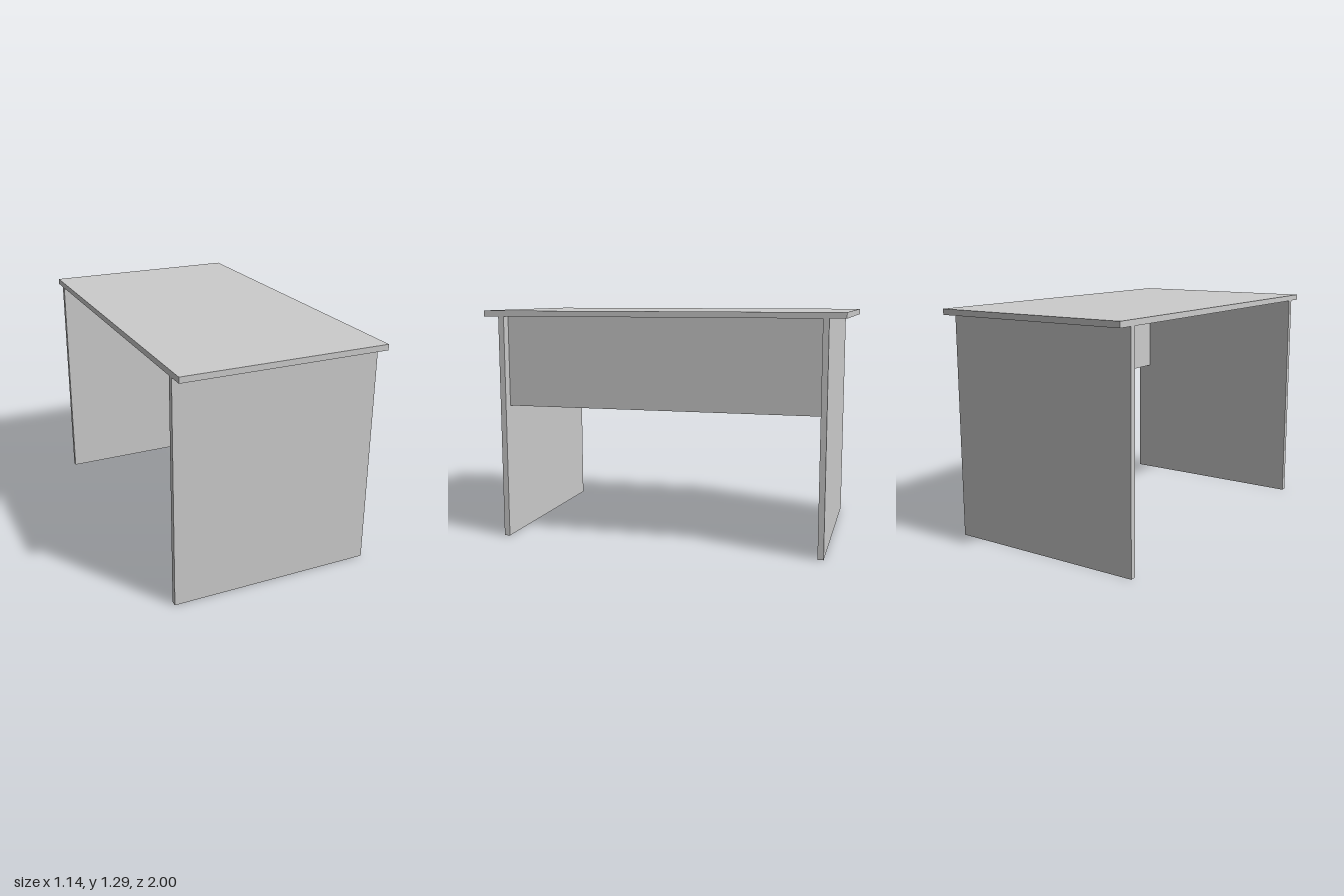
import * as THREE from 'three';

export function createModel() {
  const model = new THREE.Group();
  model.name = 'desk';
  const material = new THREE.MeshStandardMaterial({ color: 0xcccccc });

  const width = 1.144, length = 2, height = 1.288, board = 0.032;
  const legHeight = height - board;
  const legZ = 0.897;

  // Board with its centre at (x, z), standing on height y
  function addBoard(name, sx, sy, sz, x, y, z) {
    const mesh = new THREE.Mesh(new THREE.BoxGeometry(sx, sy, sz), material);
    mesh.name = name;
    mesh.position.set(x, y + sy / 2, z);
    model.add(mesh);
  }

  // Top overhanging both leg panels
  addBoard('tableTop', width, board, length, 0, legHeight, 0);

  // Full-width leg panels
  addBoard('frontLegPanel', width, legHeight, board, 0, 0, legZ);
  addBoard('backLegPanel', width, legHeight, board, 0, 0, -legZ);

  // Modesty panel between the legs, set in from the +x edge
  const panelHeight = 0.506, inset = 0.055;
  addBoard('modestyPanel', board, panelHeight, 2 * legZ - board,
    width / 2 - inset - board / 2, legHeight - panelHeight, 0);

  return model;
}
